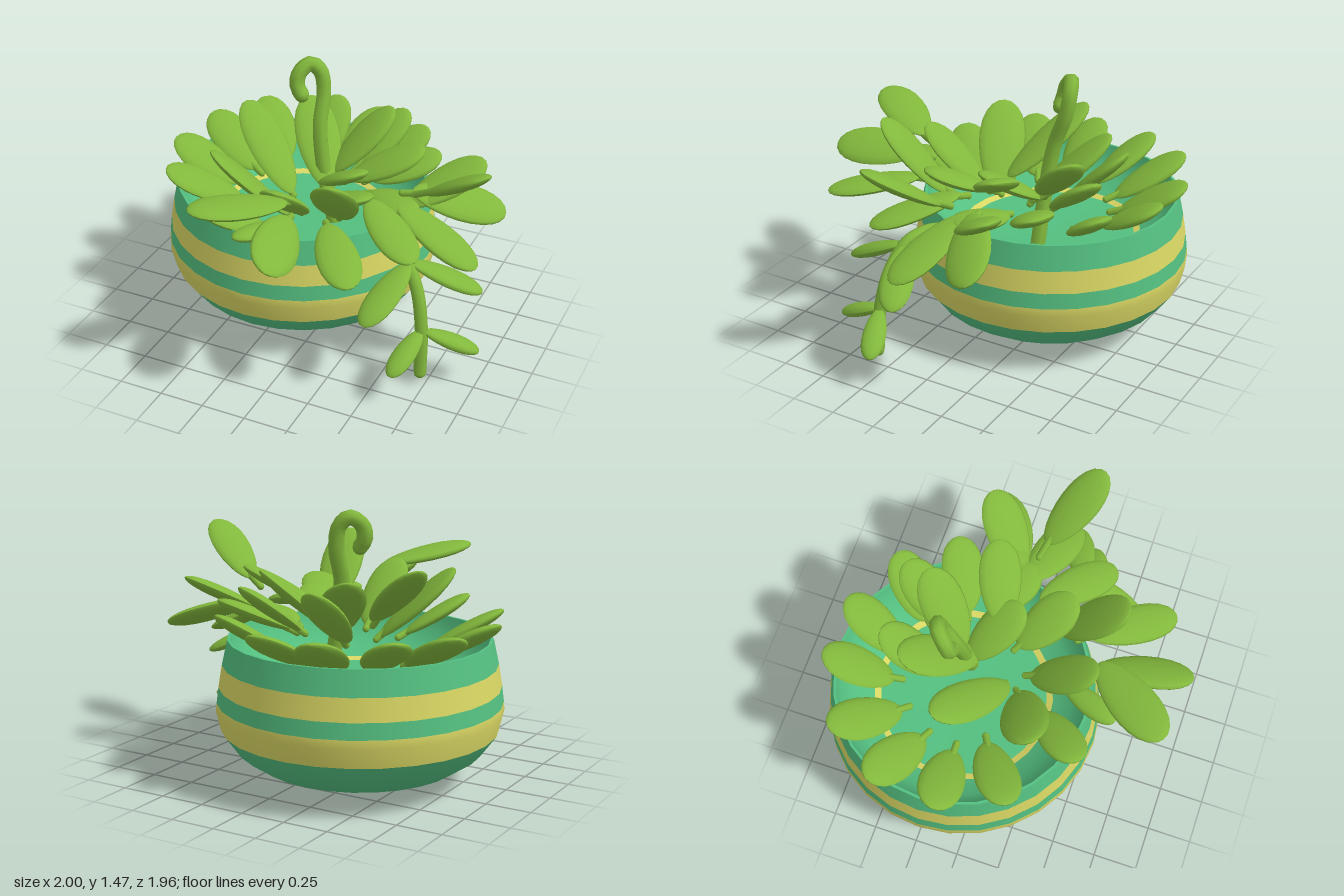
import * as THREE from 'three';

const V = (a) => new THREE.Vector3(...a);
const mat = (name, color, side = THREE.FrontSide) => {
  const m = new THREE.MeshStandardMaterial({ color, side });
  m.name = name;
  return m;
};

export function createModel() {
  const model = new THREE.Group();
  model.name = 'pottedSucculent';
  const green = mat('potGreen', 0x54bf80, THREE.DoubleSide);
  const yellow = mat('stripeYellow', 0xd8d663, THREE.DoubleSide);
  const leafGreen = mat('leafGreen', 0x82b83c);

  const add = (parent, name, geo, material) => {
    const m = new THREE.Mesh(geo, material);
    m.name = name;
    parent.add(m);
    return m;
  };

  // Pot: stacked lathe bands outside, then a shallow dish inside
  const pot = new THREE.Group();
  pot.name = 'pot';
  pot.position.set(-0.23, 0, -0.21);
  model.add(pot);
  const bands = [
    ['lowerBowl', green, [[0, 0], [0.15, 0.006], [0.36, 0.04], [0.54, 0.1], [0.66, 0.18], [0.745, 0.295]]],
    ['lowerStripe', yellow, [[0.745, 0.295], [0.77, 0.4], [0.766, 0.445]]],
    ['middleBand', green, [[0.766, 0.445], [0.755, 0.53]]],
    ['upperStripe', yellow, [[0.755, 0.53], [0.735, 0.65]]],
    ['rimBand', green, [[0.735, 0.65], [0.705, 0.785]]],
    ['rim', green, [[0.705, 0.785], [0.69, 0.785]]],
    ['innerWall', green, [[0.69, 0.785], [0.67, 0.7], [0.6, 0.61], [0.5, 0.55]]],
    ['innerStripe', yellow, [[0.5, 0.55], [0.465, 0.535]]],
    ['floor', green, [[0.465, 0.535], [0, 0.52]]],
  ];
  for (const [name, m, pts] of bands) {
    add(pot, name, new THREE.LatheGeometry(pts.map(([r, y]) => new THREE.Vector2(r, y)), 28), m);
  }

  // Unit leaf along +y from 0 to 1, egg shaped, broad side in x, thin in z
  const unitLeaf = new THREE.SphereGeometry(0.5, 16, 12);
  const p = unitLeaf.attributes.position;
  for (let i = 0; i < p.count; i++) {
    const t = p.getY(i) + 0.5;
    const swell = 0.82 + 0.32 * t;
    p.setXYZ(i, p.getX(i) * swell, t, p.getZ(i) * swell);
  }
  unitLeaf.computeVertexNormals();

  const plant = new THREE.Group();
  plant.name = 'plant';
  model.add(plant);
  const tube = (name, pts, r, n = 20) => {
    const curve = new THREE.CatmullRomCurve3(pts.map(V));
    add(plant, name, new THREE.TubeGeometry(curve, n, r, 8), leafGreen);
    for (const e of [pts[0], pts[pts.length - 1]]) {
      add(plant, name + 'End', new THREE.SphereGeometry(r, 8, 6), leafGreen).position.set(...e);
    }
  };

  // Leaf placed by base and tip; a positive roll tilts its face to the right of its direction
  const leaf = (name, base, tip, width = 0.24, roll = 0) => {
    const b = V(base), d = V(tip).sub(b), len = d.length();
    d.normalize();
    const side = new THREE.Vector3().crossVectors(d, new THREE.Vector3(0, 1, 0)).normalize();
    side.applyAxisAngle(d, roll);
    const normal = new THREE.Vector3().crossVectors(side, d);
    const m = add(plant, name, unitLeaf, leafGreen);
    m.quaternion.setFromRotationMatrix(new THREE.Matrix4().makeBasis(side, d, normal));
    m.scale.set(width, len, 0.075);
    m.position.copy(b);
  };

  // Outer ring leaning over the rim
  const outer = [
    [[-0.58, 0.69, -0.31], [-0.95, 0.91, -0.49], 0.25, -0.2],
    [[-0.6, 0.69, -0.13], [-0.99, 0.91, -0.11], 0.25, -0.2],
    [[-0.5, 0.69, 0.02], [-0.85, 0.91, 0.25], 0.25, -0.2],
    [[-0.47, 0.69, -0.48], [-0.75, 0.92, -0.78], 0.25],
    [[-0.32, 0.69, -0.58], [-0.37, 0.91, -0.96], 0.25, 0.2],
    [[-0.15, 0.69, -0.58], [-0.03, 0.91, -0.95], 0.25, 0.2],
    [[0.05, 0.72, -0.52], [0.31, 0.94, -0.77], 0.24, 0.2],
    [[-0.24, 0.7, 0.25], [-0.51, 0.91, 0.53], 0.24, -0.2],
    [[0.14, 0.8, -0.31], [0.5, 0.95, -0.48], 0.24, 0.25],
    [[0.2, 0.8, -0.18], [0.52, 0.83, -0.04]],
    [[-0.08, 0.8, 0.32], [-0.22, 0.85, 0.65], 0.14],
  ];
  // Upright inner rosette
  const inner = [
    [[-0.21, 0.77, -0.33], [-0.21, 1.09, -0.67]],
    [[0.04, 0.82, -0.38], [0.21, 1.08, -0.68]],
    [[-0.07, 0.82, -0.26], [0.18, 1.15, -0.54], 0.25],
    [[0.1, 0.9, -0.1], [0.49, 1.1, -0.24], 0.24, 0.2],
    [[-0.1, 0.78, -0.22], [0.21, 0.99, -0.01]],
    [[-0.18, 0.81, 0.04], [-0.59, 1.17, -0.24]],
    [[-0.05, 0.76, -0.17], [-0.33, 1.13, -0.52], 0.26],
    [[-0.17, 0.71, 0.1], [-0.55, 1.1, 0.27], 0.27, 0.2],
    [[-0.08, 0.76, 0.13], [-0.07, 1.08, 0.5]],
    [[0.03, 0.83, 0.02], [0.34, 1.0, 0.25], 0.25],
    [[0.2, 0.83, 0.2], [0.28, 1.22, 0.56], 0.25],
  ];
  // Long leaves reaching over the front and left side
  const reaching = [
    [[0.01, 1.04, 0.48], [-0.32, 1.13, 0.92], 0.26],
    [[0.02, 0.95, 0.48], [0.13, 0.93, 0.98], 0.26, -0.55],
    [[0.19, 0.89, 0.37], [0.49, 0.82, 0.79], 0.23],
    [[0.29, 0.9, 0.06], [0.67, 0.78, 0.39], 0.23],
    [[0.42, 0.85, -0.04], [0.92, 0.64, 0.09], 0.24],
    [[0.6, 0.98, -0.01], [0.98, 1.26, 0.2], 0.23],
    [[0.47, 0.9, -0.12], [0.93, 0.75, -0.36], 0.26, 0.45],
    [[0.45, 0.82, -0.1], [0.79, 1.03, -0.38], 0.25, 0.2],
  ];
  for (const [list, name] of [[outer, 'outerLeaf'], [inner, 'innerLeaf'], [reaching, 'reachingLeaf']]) {
    for (const [b, t, w, roll] of list) {
      leaf(name, b, t, w, roll);
      // Short stalk pointing back to the crown
      const start = V(b).lerp(V([-0.15, 0.6, -0.15]), 0.1).toArray();
      tube(name + 'Stalk', [start, V(b).lerp(V(t), 0.1).toArray()], 0.02, 3);
    }
  }

  // Curled young shoot
  tube('curledShoot', [[-0.04, 0.5, -0.23], [-0.12, 0.88, -0.24], [-0.15, 1.1, -0.27], [-0.155, 1.27, -0.33],
    [-0.18, 1.39, -0.34], [-0.23, 1.433, -0.32], [-0.275, 1.39, -0.27], [-0.28, 1.32, -0.25], [-0.25, 1.27, -0.245]], 0.043, 40);

  // Trailing stem with two pairs of leaves
  tube('trailingStem', [[0.38, 0.71, 0.13], [0.46, 0.72, 0.17], [0.57, 0.69, 0.22],
    [0.66, 0.56, 0.27], [0.71, 0.35, 0.31], [0.72, 0.07, 0.33]], 0.035, 32);
  const trailing = [
    [[0.6, 0.68, 0.24], [0.5, 0.49, 0.62], 0.18],
    [[0.6, 0.68, 0.22], [0.96, 0.5, 0.07], 0.18],
    [[0.71, 0.33, 0.31], [0.65, 0.2, 0.6], 0.13],
    [[0.72, 0.33, 0.31], [1.0, 0.2, 0.19], 0.13],
  ];
  for (const [b, t, w] of trailing) leaf('trailingLeaf', b, t, w);

  return model;
}
